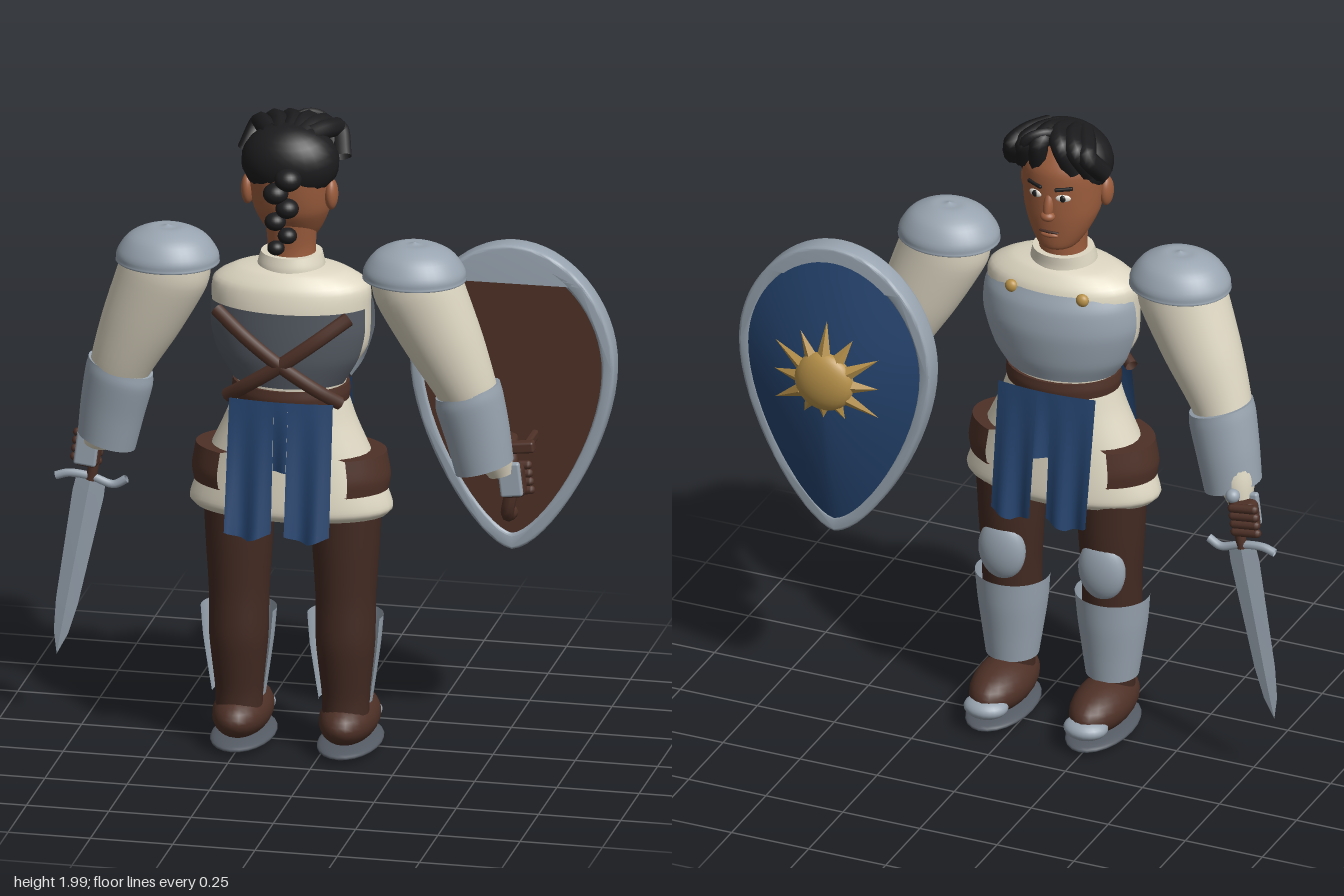
import * as THREE from 'three';
import { toCreasedNormals } from 'three/addons/utils/BufferGeometryUtils.js';
import { RoundedBoxGeometry } from 'three/addons/geometries/RoundedBoxGeometry.js';

const V = (x, y, z) => new THREE.Vector3(x, y, z);
const palette = {
  cream: 0xddd6c2, steel: 0x98a4b0, darkSteel: 0x555b64, leather: 0x4e3127, trousers: 0x432a22,
  blue: 0x25446f, gold: 0xb8924a, skin: 0x9c5d3d, hair: 0x1c1c1e, eyeWhite: 0xe6e2da,
};

// Surface through rows of points, with optional fans to close both ends
function grid(rows, closed, capCentres) {
  const n = rows[0].length, pos = [], idx = [];
  rows.forEach(r => r.forEach(p => pos.push(p.x, p.y, p.z)));
  const cols = closed ? n : n - 1;
  for (let i = 0; i < rows.length - 1; i++) for (let j = 0; j < cols; j++) {
    const a = i * n + j, b = i * n + (j + 1) % n;
    idx.push(a, a + n, b, b, a + n, b + n);
  }
  if (capCentres) [rows[0], rows[rows.length - 1]].forEach((row, e) => {
    const base = pos.length / 3;
    [...row, capCentres[e]].forEach(p => pos.push(p.x, p.y, p.z));
    for (let j = 0; j < cols; j++) {
      const a = base + j, b = base + (j + 1) % n;
      idx.push(base + n, ...(e ? [b, a] : [a, b]));
    }
  });
  const g = new THREE.BufferGeometry();
  g.setAttribute('position', new THREE.Float32BufferAttribute(pos, 3));
  g.setIndex(idx);
  g.computeVertexNormals();
  return g;
}

// Smooth stack of level ellipses [x, y, z, rx, rz], listed upwards; angle 0 faces -z
function loft(secs, { from = 0, to = Math.PI * 2, caps = true, tilt = 0 } = {}) {
  const mid = new THREE.CatmullRomCurve3(secs.map(s => V(s[0], s[1], s[2])), false, 'catmullrom', 0.4);
  const rad = new THREE.CatmullRomCurve3(secs.map(s => V(s[3], s[4], 0)), false, 'catmullrom', 0.4);
  const closed = to - from > 6.28, n = 32, steps = (secs.length - 1) * 5, rows = [], centres = [];
  for (let i = 0; i <= steps; i++) {
    const c = mid.getPoint(i / steps), r = rad.getPoint(i / steps), row = [];
    for (let j = 0; j < (closed ? n : n + 1); j++) {
      const t = from + (to - from) * j / n, dx = r.x * Math.sin(t);
      row.push(V(c.x + dx, c.y + tilt * dx, c.z - r.y * Math.cos(t)));
    }
    rows.push(row);
    centres.push(c);
  }
  return grid(rows, closed, caps && [centres[0], centres[steps]]);
}

const tube = (pts, r, closed = false) =>
  new THREE.TubeGeometry(new THREE.CatmullRomCurve3(pts.map(p => V(...p)), closed), 24, r, 8, closed);

export function createModel() {
  const mat = {};
  for (const k in palette) {
    mat[k] = new THREE.MeshStandardMaterial({ color: palette[k], side: THREE.DoubleSide });
    mat[k].name = k;
  }
  const model = new THREE.Group();
  model.name = 'shieldKnight';
  const body = new THREE.Group();
  body.name = 'body';
  body.position.x = -0.09;
  model.add(body);
  const add = (name, geo, m, parent = body) => {
    const mesh = new THREE.Mesh(geo, mat[m]);
    mesh.name = name;
    parent.add(mesh);
    return mesh;
  };
  const ball = (name, m, c, r, parent = body) => {
    const b = add(name, new THREE.SphereGeometry(1, 24, 16), m, parent);
    b.position.set(...c);
    b.scale.set(...r);
    return b;
  };
  const box = (name, m, c, s, parent = body, round = 0.008) => {
    const b = add(name, new RoundedBoxGeometry(...s, 2, round), m, parent);
    b.position.set(...c);
    return b;
  };

  // Shirt, skirted tunic, collar and belt
  add('shirt', loft([[0, 1.13, .1, .165, .13], [0, 1.2, .1, .17, .13], [0, 1.3, .1, .232, .147],
    [0, 1.42, .1, .24, .15], [0, 1.49, .1, .235, .135], [0, 1.53, .1, .17, .105], [0, 1.545, .1, .09, .08]]), 'cream');
  add('collar', loft([[0, 1.52, .1, .105, .095], [0, 1.55, .1, .1, .092], [0, 1.58, .095, .092, .088]]), 'cream');
  add('tunicSkirt', loft([[0, .775, .1, .29, .145], [0, .8, .1, .308, .16], [0, .86, .1, .288, .158],
    [0, .97, .1, .24, .148], [0, 1.07, .1, .195, .137], [0, 1.16, .1, .165, .128]]), 'cream');
  add('belt', loft([[0, 1.13, .1, .175, .138], [0, 1.155, .1, .178, .141], [0, 1.18, .1, .175, .138]]), 'leather');

  // Front and back plates with crossed straps
  add('breastplate', loft([[0, 1.19, .1, .178, .138], [0, 1.25, .1, .218, .158], [0, 1.35, .1, .25, .172],
    [0, 1.43, .1, .247, .163], [0, 1.48, .1, .225, .14]], { from: -1.4, to: 1.4, caps: false }), 'steel');
  add('backPlate', loft([[0, 1.19, .1, .176, .136], [0, 1.27, .1, .225, .152], [0, 1.35, .1, .246, .156],
    [0, 1.43, .1, .247, .157]], { from: Math.PI - 1.25, to: Math.PI + 1.25, caps: false }), 'darkSteel');
  for (const s of [-1, 1]) {
    const strap = add('backStrap', tube([[-s * .2, 1.42, 0], [-s * .1, 1.345, .055], [0, 1.27, .062],
      [s * .1, 1.2, .035], [s * .17, 1.15, -.02]], .022), 'leather');
    strap.scale.z = .6;
    strap.position.z = .222;
    ball('plateClasp', 'gold', [s * .115, 1.475, -.025], [.02, .02, .016]);
  }

  // Split cloth panels hanging front and back
  const panel = new THREE.Shape([[-.158, 1.14], [-.16, .76], [-.1, .745], [-.035, .73], [-.022, .92], [.022, .92],
    [.028, .735], [.09, .725], [.155, .755], [.152, 1.14]].map(p => new THREE.Vector2(...p)));
  const panelTails = [[-.16, -.022], [-.022, .022], [.022, .155]];
  for (const s of [-1, 1]) {
    const cloth = new THREE.Group();
    cloth.name = s > 0 ? 'backCloth' : 'frontCloth';
    body.add(cloth);
    panelTails.forEach(([x0, x1], k) => {
      const g = new THREE.PlaneGeometry(1, 1, 12, 12), p = g.attributes.position;
      for (let i = 0; i < p.count; i++) {
        const u = p.getX(i) + .5, d = .5 - p.getY(i), x = x0 + (x1 - x0) * u;
        const end = k === 1 ? .94 : .725 + .025 * Math.abs(u - .5) * 2;
        const z = .245 + .05 * d * (k === 1 ? .5 : 1) - .6 * x * x * (1 - d) + .011 * d * Math.sin(x * 70);
        p.setXYZ(i, x, 1.15 + (end - 1.15) * d, .1 + s * (z - .1));
      }
      g.computeVertexNormals();
      add('clothTail', g, 'blue', cloth);
    });
  }

  for (const s of [-1, 1]) {
    const side = s > 0 ? 'left' : 'right';
    // Hip pouch
    const mid = s * Math.PI / 2;
    add(side + 'HipPouch', loft([[0, .855, .1, .294, .166], [0, .9, .1, .3, .17], [0, .97, .1, .288, .163]],
      { from: mid - .85, to: mid + .85 }), 'leather');

    // Leg, knee guard, greave and boot
    const x = s * .162;
    add(side + 'Leg', loft([[x, .12, .085, .07, .07], [x, .2, .085, .072, .07], [x, .36, .09, .088, .088],
      [x, .5, .085, .09, .092], [x, .66, .083, .1, .1], [x, .82, .083, .108, .104]]), 'trousers');
    ball(side + 'KneeGuard', 'steel', [x, .56, .012], [.075, .1, .042]);
    add(side + 'Greave', loft([[x, .18, .088, .08, .078], [x, .26, .09, .092, .088], [x, .36, .092, .106, .102],
      [x, .45, .09, .114, .106]], { from: -1.85, to: 1.85, caps: false }), 'steel');
    ball(side + 'Boot', 'leather', [x, .108, .03], [.087, .075, .172]);
    ball(side + 'Sole', 'darkSteel', [x, .03, .022], [.095, .022, .182]);
    ball(side + 'ToePlate', 'steel', [x, .085, -.105], [.068, .034, .06]);

    // Sleeve, bracer and shoulder dome
    add(side + 'Sleeve', loft([[s * .615, .89, .005, .035, .035], [s * .59, .97, .025, .06, .06],
      [s * .53, 1.16, .068, .087, .085], [s * .46, 1.32, .085, .115, .108], [s * .39, 1.48, .1, .132, .122],
      [s * .37, 1.56, .102, .125, .12]], { tilt: s * .25 }), 'cream');
    add(side + 'Bracer', loft([[s * .574, .925, .043, .086, .084], [s * .555, 1.03, .05, .094, .09],
      [s * .533, 1.13, .06, .1, .095], [s * .527, 1.17, .062, .096, .092]], { tilt: s * .3 }), 'steel');
    const dome = new THREE.SplineCurve([[0, 1.522], [.14, 1.52], [.154, 1.532], [.148, 1.56], [.115, 1.602],
      [.06, 1.628], [.02, 1.63], [0, 1.637]].map(p => new THREE.Vector2(...p))).getPoints(28);
    dome.forEach(p => { p.x = Math.max(0, p.x); });
    const pad = add(side + 'ShoulderDome', new THREE.LatheGeometry(dome, 40), 'steel');
    pad.position.set(s * .375, 0, .105);
    pad.scale.z = .87;

    // Gloved fist with curled fingers and a back plate
    const fist = new THREE.Group();
    fist.name = side + 'Fist';
    fist.position.set(s * .645, .865, -.022);
    fist.rotation.z = s * .12;
    body.add(fist);
    box('palm', 'leather', [0, 0, 0], [.075, .1, .06], fist, .02);
    for (let i = 0; i < 4; i++) {
      const f = add('finger', new THREE.CapsuleGeometry(.014, .07, 4, 10), 'leather', fist);
      f.rotation.z = Math.PI / 2;
      f.position.set(s * .008, .037 - i * .026, -.03);
    }
    box('handPlate', 'steel', [0, .012, .028], [.068, .105, .022], fist);
  }

  // Neck, head and face
  add('neck', loft([[0, 1.52, .1, .075, .07], [0, 1.6, .095, .072, .07], [0, 1.68, .1, .078, .075]]), 'skin');
  add('head', loft([[0, 1.598, .06, .03, .035], [0, 1.615, .06, .06, .062], [0, 1.66, .075, .09, .085],
    [0, 1.72, .092, .115, .107], [0, 1.79, .1, .124, .116], [0, 1.87, .105, .124, .118], [0, 1.94, .11, .085, .085]]), 'skin');
  ball('noseBridge', 'skin', [0, 1.765, -.012], [.016, .045, .018]).rotation.x = .25;
  ball('noseTip', 'skin', [0, 1.732, -.02], [.023, .016, .02]);
  ball('mouth', 'trousers', [0, 1.675, -.009], [.033, .005, .008]);
  ball('lowerLip', 'skin', [0, 1.663, -.007], [.028, .009, .01]);
  for (const s of [-1, 1]) {
    ball('ear', 'skin', [s * .127, 1.775, .125], [.02, .048, .03]);
    ball('eye', 'eyeWhite', [s * .045, 1.795, -.007], [.023, .012, .007]).rotation.y = s * -.3;
    ball('iris', 'hair', [s * .044, 1.795, -.011], [.01, .011, .006]);
    const brow = box('brow', 'hair', [s * .047, 1.826, -.008], [.055, .011, .012], body, .004);
    brow.rotation.set(0, s * -.35, s * .12);
  }

  // Hair cap, swept locks and braid
  ball('hairCap', 'hair', [0, 1.868, .115], [.148, .118, .113]).rotation.x = .25;
  for (const [x, end, lift] of [[-.09, -.145, 0], [-.045, -.11, .025], [0, -.06, .035], [.03, .05, .035],
    [.06, .11, .02], [.1, .145, 0]]) {
    const lock = add('hairLock', tube([[x * .6, 1.955, .13], [x, 1.955 + lift * .5, .06], [(x + end) / 2, 1.94 + lift * .5, .008],
      [end, 1.87, .015 + Math.abs(end) * .3]], .03), 'hair');
    lock.name = 'hairLock';
  }
  add('forelock', tube([[-.02, 1.96, .08], [.03, 1.985, .02], [.075, 1.965, -.005], [.1, 1.91, .01]], .017), 'hair');
  for (let i = 0; i < 6; i++) {
    const y = 1.845 - i * .043, r = .041 - i * .003;
    ball('braidKnot', 'hair', [(i % 2 ? -1 : 1) * .018, y, .228 + .012 * Math.sin(i * .6)], [r, r * .85, r]);
  }

  // Sword in the right hand
  const sword = new THREE.Group();
  sword.name = 'sword';
  sword.position.set(-.73, .77, -.04);
  sword.rotation.z = -.185;
  model.add(sword);
  const blade = add('blade', toCreasedNormals(new THREE.LatheGeometry([[0, -.57], [.022, -.5], [.034, -.4], [.048, -.05],
    [.045, 0]].map(p => new THREE.Vector2(...p)), 4), .4), 'steel', sword);
  blade.scale.z = .22;
  add('crossguard', tube([[-.105, -.02, 0], [-.07, -.002, 0], [0, .005, 0], [.07, -.002, 0], [.105, .025, 0]], .013), 'steel', sword);
  add('grip', new THREE.CylinderGeometry(.016, .016, .17, 12), 'leather', sword).position.y = .08;
  ball('pommel', 'steel', [0, .165, 0], [.022, .022, .022], sword);

  // Shield on the left arm
  const shield = new THREE.Group();
  shield.name = 'shield';
  shield.position.set(.53, 1.09, 0);
  model.add(shield);
  const outline = new THREE.Shape();
  outline.moveTo(0, .468);
  outline.bezierCurveTo(.16, .468, .302, .3, .302, .11);
  outline.bezierCurveTo(.302, -.13, .1, -.455, 0, -.468);
  outline.bezierCurveTo(-.1, -.455, -.302, -.13, -.302, .11);
  outline.bezierCurveTo(-.302, .3, -.16, .468, 0, .468);
  const edge = outline.getPoints(16).slice(0, -1).reverse();
  const scaled = k => edge.map(p => p.clone().multiplyScalar(k));
  const rimShape = new THREE.Shape(edge);
  rimShape.holes.push(new THREE.Path(scaled(.93)));
  const rim = add('shieldRim', toCreasedNormals(new THREE.ExtrudeGeometry(rimShape,
    { depth: .05, bevelThickness: .01, bevelSize: .009, bevelSegments: 3 }), .7), 'steel', shield);
  rim.position.z = -.177;
  const backing = add('shieldBack', new THREE.ExtrudeGeometry(new THREE.Shape(scaled(.94)),
    { depth: .012, bevelEnabled: false }), 'leather', shield);
  backing.position.z = -.137;
  const rings = [];
  for (let i = 0; i <= 10; i++) {
    const k = .94 * (1 - i / 10) + .001;
    rings.push(scaled(k).map(p => V(p.x, p.y, -.175 - .09 * (1 - k ** 1.6))));
  }
  add('shieldFace', grid(rings, true), 'blue', shield);

  // Sun boss with alternating rays
  ball('sunDisc', 'gold', [0, .065, -.255], [.095, .095, .045], shield);
  for (let i = 0; i < 12; i++) {
    const a = i * Math.PI / 6, len = i % 2 ? .085 : .11;
    const pivot = new THREE.Group();
    pivot.name = 'sunRay';
    pivot.position.set(0, .065, -.262);
    pivot.rotation.z = a;
    shield.add(pivot);
    const ray = add('ray', toCreasedNormals(new THREE.ConeGeometry(.022, len, 4), .3), 'gold', pivot);
    ray.position.set(0, .085 + len / 2, .014);
    ray.rotation.x = .22;
    ray.scale.z = .6;
  }

  // Arm strap and hand loop behind the shield
  box('armStrap', 'leather', [0, -.12, -.01], [.19, .035, .035], shield).rotation.z = .12;
  for (const s of [-1, 1]) box('strapMount', 'leather', [s * .07, -.12 + s * .009, -.068], [.022, .03, .12], shield);
  add('handLoop', tube([[0, -.13, -.13], [.01, -.135, -.06], [.02, -.17, -.03], [.02, -.25, -.03],
    [.005, -.33, -.04], [0, -.355, -.08], [0, -.36, -.13]], .02), 'leather', shield);
  return model;
}
